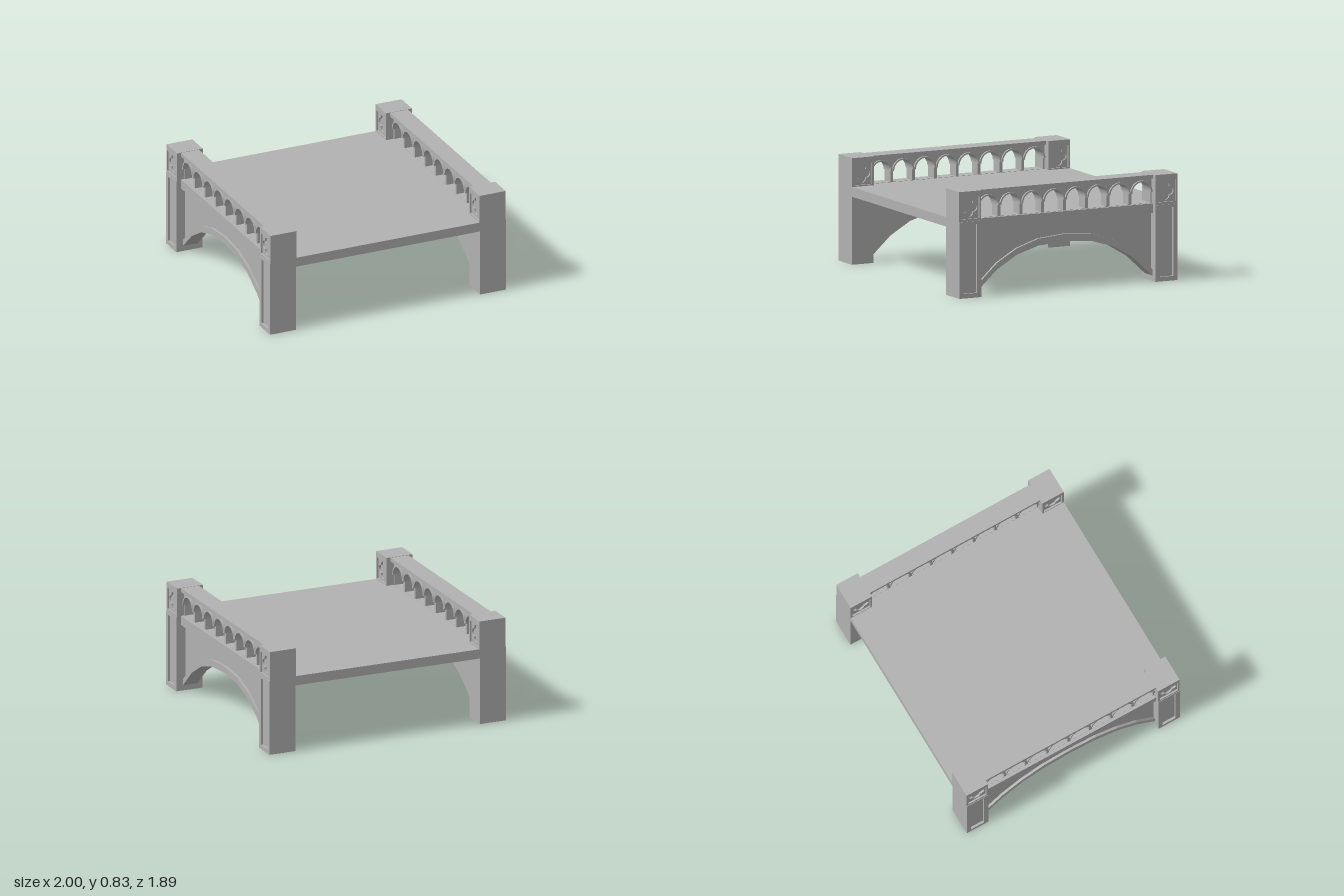
import * as THREE from 'three';

const stone = new THREE.MeshStandardMaterial({ color: 0xb2b2b2 });
stone.name = 'stone';

function add(group, name, geometry) {
  const mesh = new THREE.Mesh(geometry, stone);
  mesh.name = name;
  group.add(mesh);
  return mesh;
}

// Box given by its limits
function box(group, name, x0, x1, y0, y1, z0, z1) {
  const g = new THREE.BoxGeometry(x1 - x0, y1 - y0, z1 - z0);
  g.translate((x0 + x1) / 2, (y0 + y1) / 2, (z0 + z1) / 2);
  return add(group, name, g);
}

// Side profile (z, y) extruded along x between two limits
function slab(group, name, shape, x0, x1, zCentre = 0) {
  const g = new THREE.ExtrudeGeometry(shape, { depth: x1 - x0, bevelEnabled: false, curveSegments: 10 });
  g.translate(0, 0, x0);
  g.rotateY(Math.PI / 2);
  g.translate(0, 0, zCentre);
  return add(group, name, g);
}

function rect(Type, w, y0, y1) {
  const p = new Type();
  p.moveTo(-w, y0).lineTo(w, y0).lineTo(w, y1).lineTo(-w, y1).closePath();
  return p;
}

function quatrefoil(cy, d, r) {
  const t = (d + Math.sqrt(2 * r * r - d * d)) / 2;
  const half = Math.atan2(t, t - d);
  const pts = [];
  for (let lobe = 0; lobe < 4; lobe++) {
    const a = lobe * Math.PI / 2;
    for (let i = 0; i < 10; i++) {
      const b = a - half + 2 * half * i / 10;
      pts.push(new THREE.Vector2(d * Math.cos(a) + r * Math.cos(b), cy + d * Math.sin(a) + r * Math.sin(b)));
    }
  }
  return new THREE.Path(pts);
}

// Corner pillar with a sunk panel below and quatrefoil panels above
function pillar(side, zSign) {
  const g = new THREE.Group();
  g.name = 'pillar';
  side.add(g);
  const z = 0.85 * zSign, h = 0.095;
  box(g, 'pillarShaft', 0.78, 0.982, 0, 0.595, z - h, z + h);
  const lower = rect(THREE.Shape, h, 0, 0.595);
  lower.holes.push(rect(THREE.Path, 0.058, 0.035, 0.572));
  slab(g, 'shaftPanelFrame', lower, 0.982, 1, z);

  box(g, 'pillarHead', 0.805, 0.968, 0.595, 0.83, z - h, z + h);
  const frame = rect(THREE.Shape, h, 0.595, 0.83);
  frame.holes.push(rect(THREE.Path, 0.08, 0.615, 0.785));
  const plate = rect(THREE.Shape, 0.08, 0.615, 0.785);
  plate.holes.push(quatrefoil(0.7, 0.037, 0.033));
  slab(g, 'outerHeadFrame', frame, 0.968, 0.996, z);
  slab(g, 'outerQuatrefoil', plate, 0.968, 0.983, z);
  slab(g, 'innerHeadFrame', frame, 0.776, 0.805, z);
  slab(g, 'innerQuatrefoil', plate, 0.79, 0.805, z);
}

// Faceted curves of the main arch, as half profiles from the springing to the crown
const soffit = [[0.757, 0.04], [0.592, 0.192], [0.42, 0.294], [0.233, 0.35], [0, 0.37]];
const ribTop = [[0.757, 0.09], [0.592, 0.243], [0.42, 0.344], [0.233, 0.405], [0, 0.425]];
const fullArch = half => [
  ...half.map(([z, y]) => new THREE.Vector2(-z, y)),
  ...half.slice(0, -1).reverse().map(([z, y]) => new THREE.Vector2(z, y))
];

function createSide() {
  const side = new THREE.Group();
  side.name = 'bridgeSide';
  const end = 0.757;
  for (const s of [-1, 1]) pillar(side, s);

  // Spandrel wall, raised arch rib and the band at deck level
  const wall = new THREE.Shape([...fullArch(soffit), new THREE.Vector2(end, 0.54), new THREE.Vector2(-end, 0.54)]);
  slab(side, 'spandrelWall', wall, 0.82, 0.925);
  const rib = new THREE.Shape([...fullArch(soffit), ...fullArch(ribTop).reverse()]);
  slab(side, 'archRib', rib, 0.925, 0.945);
  box(side, 'deckBand', 0.81, 0.96, 0.53, 0.605, -end, end);

  // Arcaded parapet
  const pitch = 0.189, r = 0.082, spring = 0.692;
  const parapet = rect(THREE.Shape, end, 0.605, 0.8);
  for (let i = 0; i < 8; i++) {
    const c = (i - 3.5) * pitch;
    const hole = new THREE.Path();
    hole.moveTo(c - r, 0.607).lineTo(c + r, 0.607).lineTo(c + r, spring);
    hole.absarc(c, spring, r, 0, Math.PI, false);
    hole.closePath();
    parapet.holes.push(hole);

    // Raised moulding around each opening
    const ring = new THREE.Shape();
    ring.absarc(c, spring, 0.0943, 0, Math.PI, false);
    ring.lineTo(c - r, spring);
    ring.absarc(c, spring, r, Math.PI, 0, true);
    ring.closePath();
    slab(side, 'archMoulding', ring, 0.825, 0.95);
  }
  slab(side, 'parapetArcade', parapet, 0.84, 0.935);
  box(side, 'parapetRail', 0.81, 0.96, 0.798, 0.828, -end, end);
  return side;
}

export function createModel() {
  const model = new THREE.Group();
  model.name = 'bridge';
  box(model, 'deck', -0.83, 0.83, 0.53, 0.605, -0.756, 0.756);
  for (const s of [-1, 1]) box(model, 'deckEnd', -0.785, 0.785, 0.53, 0.605, s > 0 ? 0.756 : -0.944, s > 0 ? 0.944 : -0.756);
  const left = createSide();
  left.name = 'leftSide';
  const right = createSide();
  right.name = 'rightSide';
  right.rotation.y = Math.PI;
  model.add(left, right);
  return model;
}
